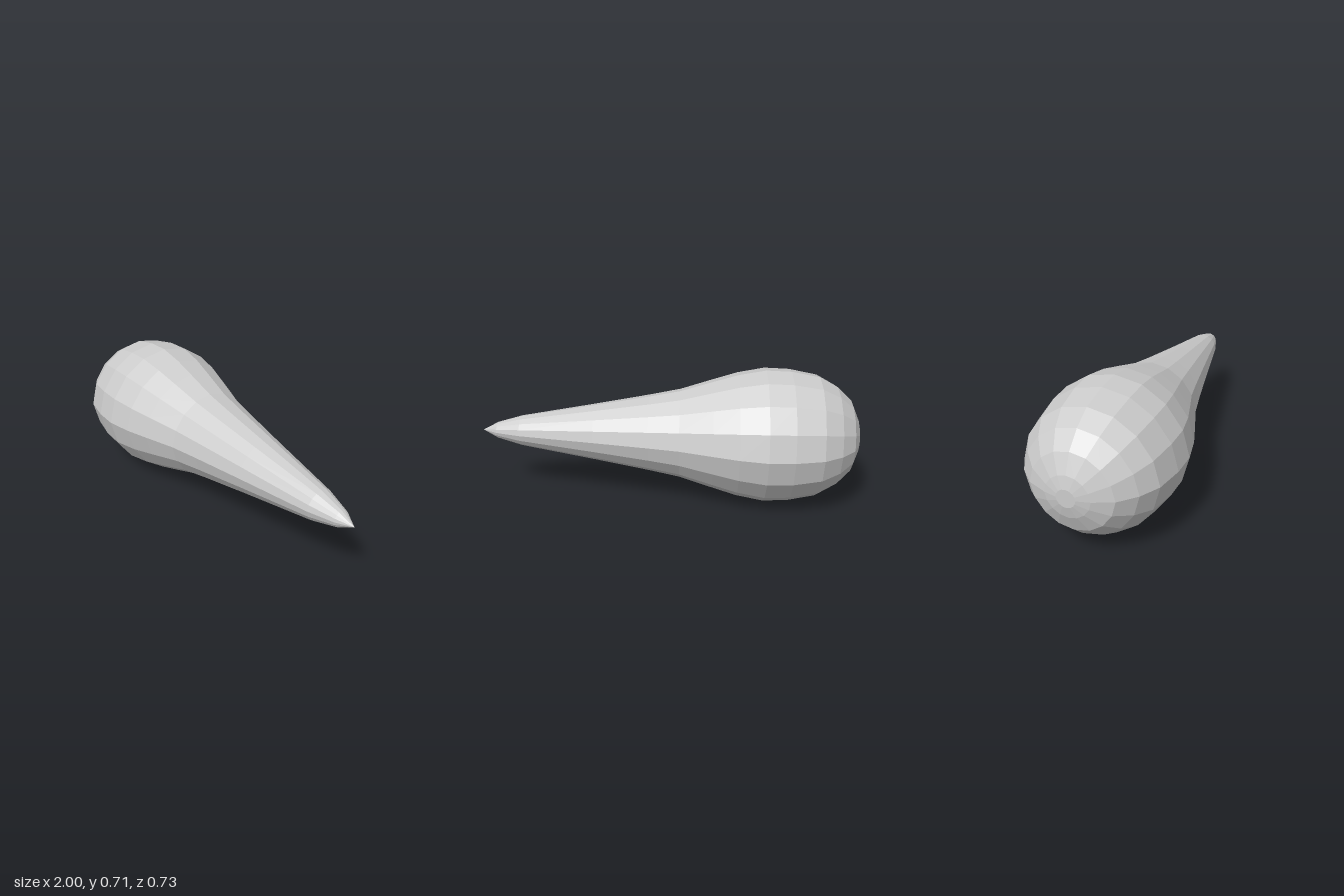
import * as THREE from 'three';

export function createModel() {
  const group = new THREE.Group();
  const material = new THREE.MeshStandardMaterial({ color: 0xcccccc, flatShading: true });

  // Profile along the long axis: [position, radius], blunt end to pointed end
  const profile = [
    [-1, 0], [-1, 0.045], [-0.985, 0.105], [-0.945, 0.195], [-0.87, 0.267],
    [-0.775, 0.32], [-0.63, 0.348], [-0.5, 0.353], [-0.36, 0.327], [-0.23, 0.288],
    [-0.06, 0.235], [0.1, 0.203], [0.39, 0.15], [0.79, 0.08], [0.92, 0.043], [1, 0],
  ].map(([along, radius]) => new THREE.Vector2(radius, along));

  // Sixteen-sided drop laid on its side, slightly swollen on the two flanks
  const geometry = new THREE.LatheGeometry(profile, 16);
  geometry.rotateZ(-Math.PI / 2);
  const pos = geometry.attributes.position;
  for (let i = 0; i < pos.count; i++) {
    const y = pos.getY(i), z = pos.getZ(i);
    const side = Math.abs(z) / (Math.hypot(y, z) || 1);
    pos.setZ(i, z * (1 + 0.04 * side ** 10));
  }
  geometry.translate(0, 0.353, 0);
  geometry.computeVertexNormals();

  const body = new THREE.Mesh(geometry, material);
  body.name = 'dropBody';
  group.add(body);
  return group;
}
